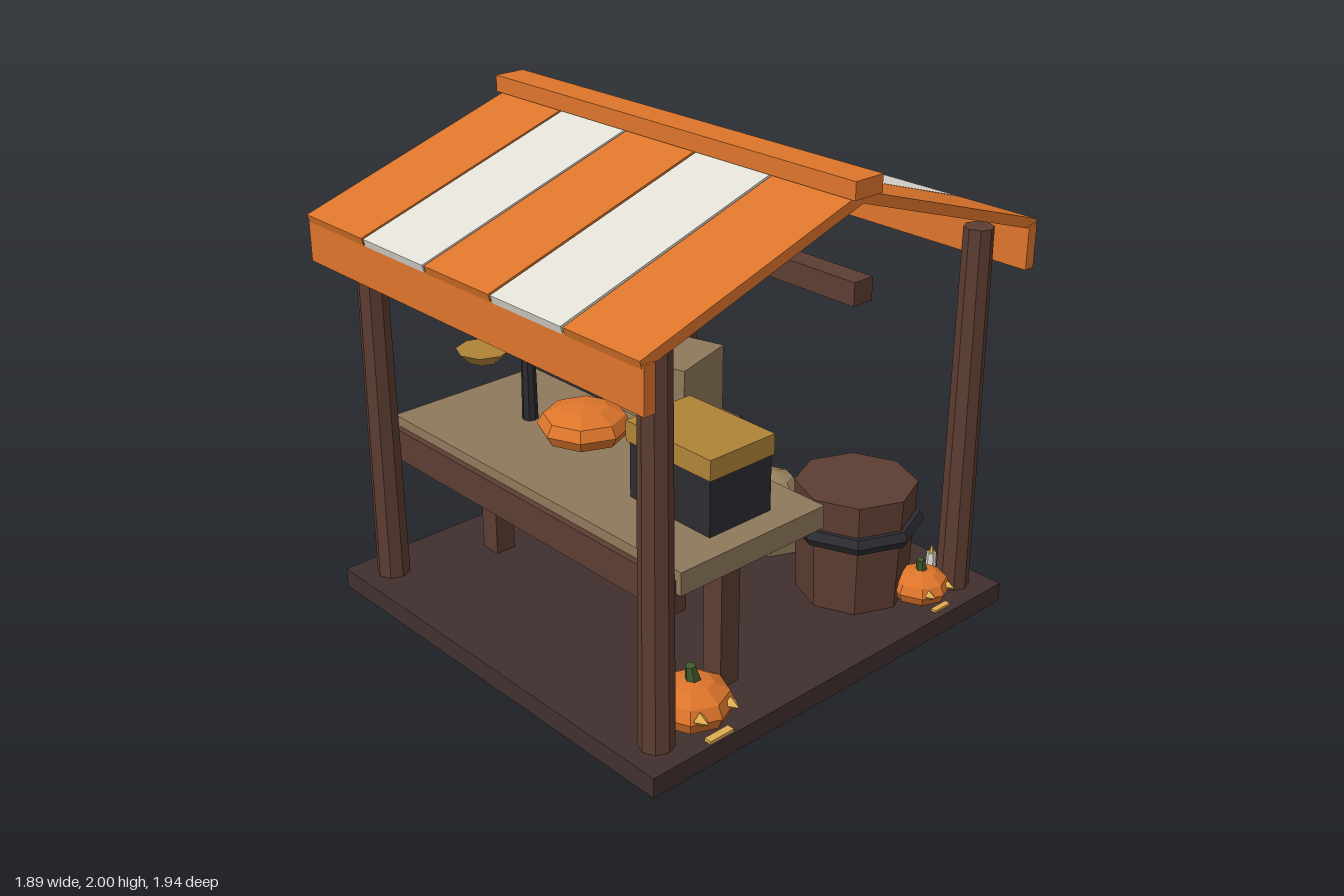
import * as THREE from 'three';

const COLORS = {
  floor: 0x40302f, wood: 0x5c3d32, plank: 0x8f7a5c, orange: 0xdd752b, cream: 0xe2e0d6,
  iron: 0x2c2b31, brass: 0xb08436, sack: 0x95805c, stem: 0x3f5a2c, glow: 0xe0ad50,
};
const MATS = {};
for (const [name, color] of Object.entries(COLORS)) {
  MATS[name] = new THREE.MeshStandardMaterial({ color, flatShading: true });
}

function add(parent, name, geometry, mat, x, y, z) {
  const mesh = new THREE.Mesh(geometry, MATS[mat]);
  mesh.name = name;
  mesh.position.set(x, y, z);
  parent.add(mesh);
  return mesh;
}

// Box given by its extents on each axis
function box(parent, name, mat, [x0, x1], [y0, y1], [z0, z1]) {
  return add(parent, name, new THREE.BoxGeometry(x1 - x0, y1 - y0, z1 - z0), mat,
    (x0 + x1) / 2, (y0 + y1) / 2, (z0 + z1) / 2);
}

// Upright cylinder standing on y0
function column(parent, name, mat, rTop, rBottom, y0, y1, x, z, sides = 8) {
  return add(parent, name, new THREE.CylinderGeometry(rTop, rBottom, y1 - y0, sides), mat, x, (y0 + y1) / 2, z);
}

// Low-poly ball squashed to the given radii
function blob(parent, name, mat, r, h, x, y, z) {
  const mesh = add(parent, name, new THREE.SphereGeometry(1, 8, 6), mat, x, y, z);
  mesh.scale.set(r, h, r);
  return mesh;
}

// Carved pumpkin with its face towards +x
function carvedPumpkin(parent, r, x, z) {
  const g = new THREE.Group();
  g.name = 'carvedPumpkin';
  g.position.set(x, 0.115 + r * 0.5, z);
  blob(g, 'pumpkinBody', 'orange', r, r * 0.6, 0, 0, 0);
  const stem = column(g, 'stem', 'stem', r * 0.12, r * 0.2, r * 0.5, r * 0.95, 0, 0, 6);
  stem.rotation.x = 0.2;
  for (const s of [-1, 1]) {
    const eye = add(g, 'eye', new THREE.ConeGeometry(r * 0.18, r * 0.3, 4), 'glow', r * 0.9, r * 0.1, s * r * 0.47);
    eye.rotation.z = -Math.PI / 2;
  }
  add(g, 'mouth', new THREE.BoxGeometry(r * 0.2, r * 0.16, r * 0.72), 'glow', r * 0.9, -r * 0.5, 0);
  parent.add(g);
}

function candle(parent, r, height, x, z) {
  column(parent, 'candle', 'cream', r * 0.9, r, 0.1, 0.115 + height, x, z, 6);
  add(parent, 'flame', new THREE.ConeGeometry(r * 0.55, 0.04, 6), 'glow', x, 0.135 + height, z);
}

export function createModel() {
  const model = new THREE.Group();
  model.name = 'marketStall';

  // Floor and corner posts
  box(model, 'floor', 'floor', [-0.94, 0.92], [0.035, 0.115], [-0.93, 0.93]);
  for (const x of [-0.8, 0.785]) {
    for (const z of [-0.795, 0.795]) column(model, 'post', 'wood', 0.057, 0.066, 0.115, 1.615, x, z);
  }

  // Striped gable roof
  const roof = new THREE.Group();
  roof.name = 'roof';
  model.add(roof);
  for (const side of [-1, 1]) {
    for (let i = 0; i < 5; i++) {
      const panel = add(roof, 'roofStripe', new THREE.BoxGeometry(0.36, 0.04, 1.015),
        i % 2 ? 'cream' : 'orange', -0.01 + (i - 2) * 0.371, 1.772, side * 0.481);
      panel.rotation.x = side * 0.314;
    }
    box(roof, 'valance', 'orange', [-0.938, 0.92], [1.45, 1.62], [side * 0.937 - 0.023, side * 0.937 + 0.023]);
  }
  box(roof, 'ridgeCap', 'orange', [-0.953, 0.935], [1.935, 2], [-0.066, 0.066]);
  box(roof, 'tieBeam', 'wood', [-0.94, 0.93], [1.565, 1.65], [-0.045, 0.045]);

  // Counter
  const counter = new THREE.Group();
  counter.name = 'counter';
  model.add(counter);
  box(counter, 'counterTop', 'plank', [-0.84, 0.815], [0.68, 0.77], [0.02, 0.71]);
  box(counter, 'apron', 'wood', [-0.81, 0.79], [0.6, 0.73], [0.665, 0.735]);
  for (const x of [-0.67, 0.65]) {
    box(counter, 'counterLeg', 'wood', [x - 0.046, x + 0.046], [0.115, 0.68], [0.315, 0.405]);
  }

  // Balance scale
  const scale = new THREE.Group();
  scale.name = 'balanceScale';
  model.add(scale);
  column(scale, 'scalePost', 'iron', 0.026, 0.032, 0.77, 1.22, -0.46, 0.335);
  box(scale, 'scaleArm', 'iron', [-0.484, -0.436], [1.197, 1.226], [0.11, 0.557]);
  for (const z of [0.12, 0.545]) column(scale, 'scalePan', 'brass', 0.105, 0.062, 1.08, 1.125, -0.46, z);

  // Goods on the counter
  blob(model, 'counterPumpkin', 'orange', 0.182, 0.086, -0.137, 0.855, 0.325);
  box(model, 'cashBox', 'iron', [0.3, 0.71], [0.77, 0.99], [0.185, 0.48]);
  box(model, 'cashBoxLid', 'brass', [0.287, 0.717], [0.99, 1.07], [0.178, 0.487]);

  // Stacked crates
  box(model, 'lowerCrate', 'wood', [-0.73, -0.31], [0.115, 0.5], [-0.69, -0.27]);
  const upper = add(model, 'upperCrate', new THREE.BoxGeometry(0.33, 0.3, 0.33), 'plank', -0.535, 0.65, -0.48);
  upper.rotation.y = 0.29;

  // Barrel with iron hoop
  column(model, 'barrel', 'wood', 0.24, 0.22, 0.115, 0.587, 0.53, -0.48);
  const hoop = add(model, 'barrelHoop', new THREE.TorusGeometry(0.235, 0.037, 6, 8), 'iron', 0.53, 0.428, -0.48);
  hoop.rotation.x = Math.PI / 2;

  // Sack and pumpkins on the floor
  blob(model, 'sack', 'sack', 0.168, 0.222, 0.05, 0.222, -0.51);
  blob(model, 'palePumpkin', 'cream', 0.14, 0.17, -0.135, 0.2, -0.26);
  carvedPumpkin(model, 0.155, 0.758, 0.605);
  carvedPumpkin(model, 0.12, 0.77, -0.61);

  // Candles by the back post
  candle(model, 0.022, 0.15, 0.72, -0.885);
  candle(model, 0.022, 0.06, 0.64, -0.84);

  return model;
}
